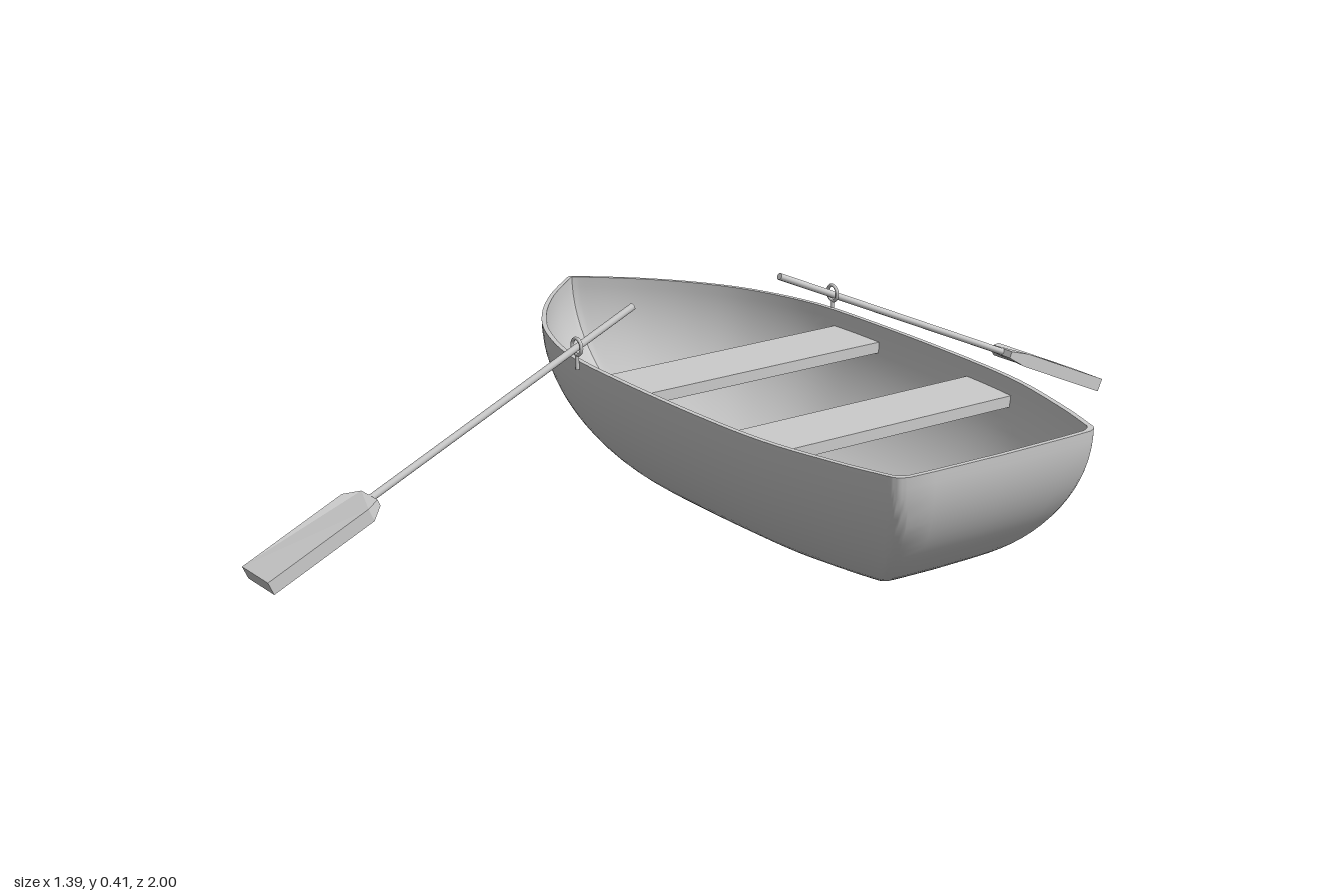
import * as THREE from 'three';
import { toCreasedNormals } from 'three/addons/utils/BufferGeometryUtils.js';

const material = new THREE.MeshStandardMaterial({ color: 0xcccccc, side: THREE.DoubleSide });

function add(parent, name, geometry, x = 0, y = 0, z = 0) {
  const mesh = new THREE.Mesh(geometry, material);
  mesh.name = name;
  mesh.position.set(x, y, z);
  parent.add(mesh);
  return mesh;
}

// Gunwale outline from bow (t = 0) to stern (t = 1), as a closed loop of [t, half-width]
function gunwaleLoop() {
  const side = new THREE.SplineCurve([
    [0, 0], [0.012, 0.022], [0.07, 0.11], [0.14, 0.19], [0.22, 0.252], [0.33, 0.297], [0.46, 0.309],
    [0.64, 0.309], [0.78, 0.297], [0.9, 0.262], [0.97, 0.234], [0.988, 0.224], [0.996, 0.206],
  ].map(([t, w]) => new THREE.Vector2(t, w))).getPoints(60).map((p) => [p.x, p.y]);
  const half = [...side, [0.998, 0.15], [0.999, 0.075], [1, 0]];
  return [...half, ...half.slice(1, -1).reverse().map(([t, w]) => [t, -w])];
}

// Hull shell: gunwale rings shrink along elliptical bow and stern curves down to the keel
function hullGeometry() {
  const loop = gunwaleLoop(), n = loop.length, steps = 24, top = 0.313;
  const positions = [], index = [];
  const addRing = (angle, wall) => {
    const c = Math.cos(angle), s = Math.sin(angle);
    const bow = -0.15 - (0.543 - wall) * c;
    const stern = 0.33 + (0.365 - wall) * c;
    for (const [t, w] of loop) {
      positions.push(bow + (stern - bow) * t, top - (top - wall) * s, w * (1 - wall / 0.31) * c);
    }
  };
  for (let i = 0; i <= steps; i++) addRing((1 - i / steps) * Math.PI / 2, 0);
  for (let i = 0; i <= steps; i++) addRing((i / steps) * Math.PI / 2, 0.01);
  for (let i = 0; i < 2 * steps + 1; i++) {
    for (let j = 0; j < n; j++) {
      const a = i * n + j, b = i * n + (j + 1) % n;
      index.push(a, b, b + n, a, b + n, a + n);
    }
  }
  const geometry = new THREE.BufferGeometry();
  geometry.setAttribute('position', new THREE.Float32BufferAttribute(positions, 3));
  geometry.setIndex(index);
  return toCreasedNormals(geometry, 0.5);
}

// Blade with clipped, thinned shoulders; runs along +y from the shaft
function bladeGeometry(length) {
  const shape = new THREE.Shape([
    [-0.03, 0], [0.03, 0], [0.05, 0.03], [0.05, length], [-0.05, length], [-0.05, 0.03],
  ].map(([x, y]) => new THREE.Vector2(x, y)));
  const geometry = new THREE.ExtrudeGeometry(shape, { depth: 0.028, bevelEnabled: false });
  geometry.translate(0, 0, -0.014);
  const p = geometry.attributes.position;
  for (let i = 0; i < p.count; i++) if (p.getY(i) < 0.01) p.setZ(i, p.getZ(i) * 0.5);
  geometry.computeVertexNormals();
  return geometry;
}

// Oar lying along +y from its handle end
function makeOar() {
  const oar = new THREE.Group();
  const shaft = 0.65, total = 0.9;
  add(oar, 'oarShaft', new THREE.CylinderGeometry(0.007, 0.007, shaft, 12), 0, shaft / 2, 0);
  add(oar, 'oarBlade', bladeGeometry(total - shaft + 0.01), 0, shaft - 0.01, 0);
  return oar;
}

export function createModel() {
  const boat = new THREE.Group();
  boat.name = 'rowingBoat';
  add(boat, 'hull', hullGeometry(), 0, 0, -0.004);

  // Bench seats
  for (const x of [-0.1, 0.31]) {
    add(boat, 'seat', new THREE.BoxGeometry(0.14, 0.022, 0.588), x, 0.27, -0.006);
  }

  // Oars and oarlocks on both sides
  for (const side of [1, -1]) {
    const oar = makeOar();
    oar.name = side > 0 ? 'frontOar' : 'backOar';
    oar.position.set(-0.19, 0.4, side * 0.174);
    oar.rotation.x = side * (Math.PI / 2 + 0.425);
    boat.add(oar);

    const lock = new THREE.Group();
    lock.name = 'oarlock';
    lock.position.set(-0.19, 0.343, side * 0.305 - 0.002);
    add(lock, 'oarlockRing', new THREE.TorusGeometry(0.016, 0.0035, 8, 24));
    add(lock, 'oarlockPin', new THREE.CylinderGeometry(0.004, 0.004, 0.03, 10), 0, -0.03, 0);
    boat.add(lock);
  }
  return boat;
}
